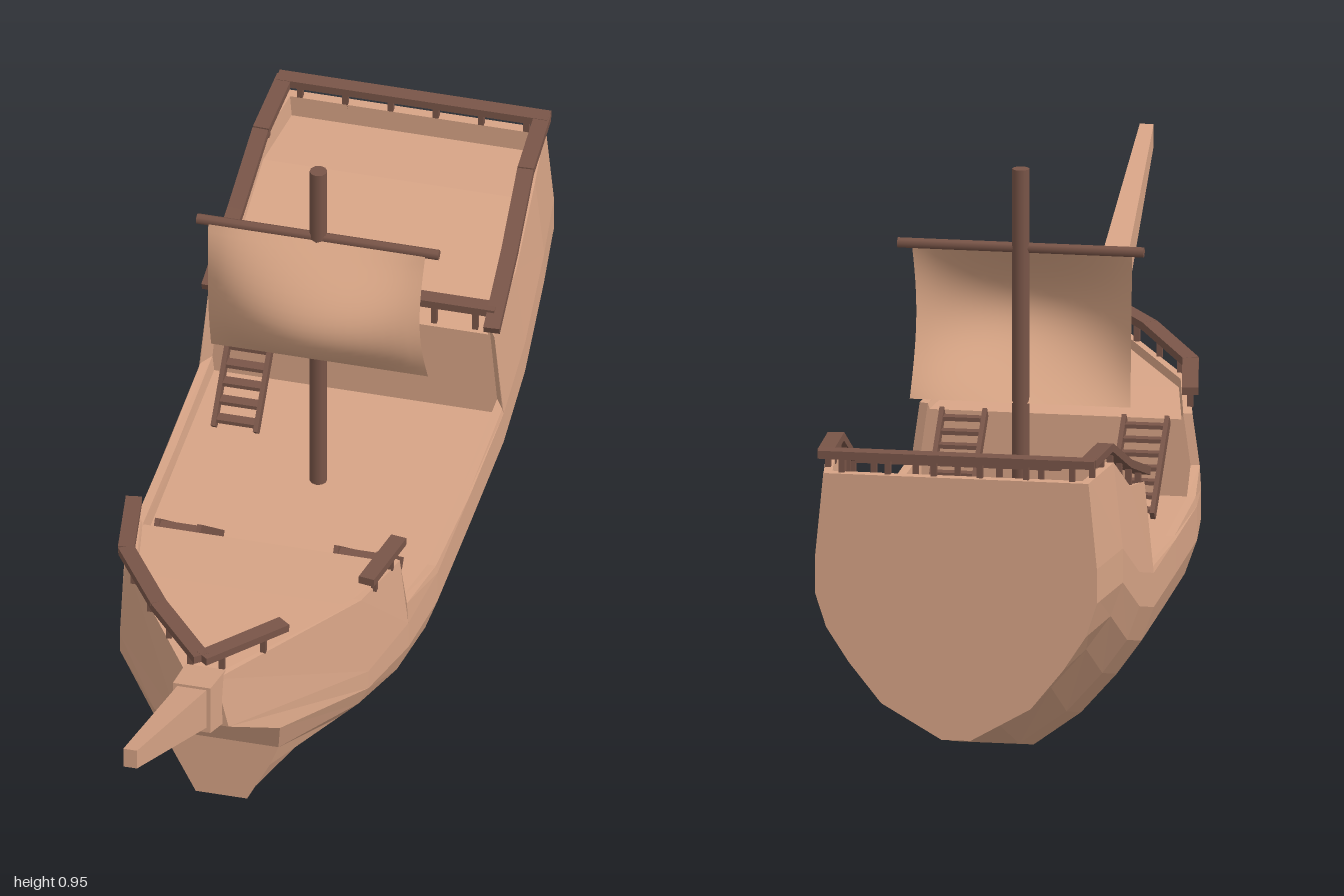
import * as THREE from 'three';

const wood = new THREE.MeshStandardMaterial({ color: 0xd7a486, flatShading: true });
wood.name = 'tan wood';
const sailCloth = new THREE.MeshStandardMaterial({ color: 0xd9a686, side: THREE.DoubleSide });
sailCloth.name = 'tan sailcloth';
const dark = new THREE.MeshStandardMaterial({ color: 0x795548 });
dark.name = 'dark brown wood';

// Skin closed mirrored rings; each ring lists its +x half from bottom to top
function loft(halves, name) {
  const rings = halves.map(h => [...h, ...h.slice().reverse().map(([x, y, z]) => [-x, y, z])]);
  const n = rings[0].length, pos = [];
  const quad = (a, b, c, d) => [a, b, c, a, c, d].forEach(p => pos.push(...p));
  for (let i = 0; i < rings.length - 1; i++) {
    for (let j = 0; j < n; j++) {
      const k = (j + 1) % n;
      quad(rings[i][j], rings[i][k], rings[i + 1][k], rings[i + 1][j]);
    }
  }
  const first = rings[0], last = rings[rings.length - 1];
  for (let k = 0; k < n / 2 - 1; k++) {
    quad(last[k], last[k + 1], last[n - 2 - k], last[n - 1 - k]);
    quad(first[n - 1 - k], first[n - 2 - k], first[k + 1], first[k]);
  }
  const geo = new THREE.BufferGeometry();
  geo.setAttribute('position', new THREE.Float32BufferAttribute(pos, 3));
  geo.computeVertexNormals();
  const mesh = new THREE.Mesh(geo, wood);
  mesh.name = name;
  return mesh;
}

// Hull cross-section: rounded sides, bulwark and deck
function section([z, keel, top, w, deck, scale = 1, bottom = 0.06, deckShift = 0]) {
  const heights = [0, 0.06, 0.13, 0.19, 0.25, 0.31];
  const widths = [0, 0.53, 0.76, 0.92, 1, 1];
  const half = heights.map((h, i) => [i ? widths[i] * w : bottom, keel + h * scale, z]);
  const topW = w * (top > 0.4 ? 0.94 : 0.99);
  half.push([topW, top, z], [topW - 0.015, top, z + deckShift], [topW - 0.018, deck, z + deckShift]);
  return half;
}

function buildHull() {
  // z, keel height, top height, half width, deck height, height scale, keel half width, bulkhead shift
  const stations = [
    [-1, 0.12, 0.58, 0.243, 0.58, 1, 0.025],
    [-0.982, 0.12, 0.58, 0.245, 0.58, 1, 0.028],
    [-0.982, 0.12, 0.58, 0.245, 0.54, 1, 0.028],
    [-0.85, 0.12, 0.58, 0.263, 0.54, 1, 0.04],
    [-0.7, 0.04, 0.5, 0.267, 0.485],
    [-0.55, 0, 0.47, 0.267, 0.455, 1, 0.06, -0.025],
    [-0.55, 0, 0.32, 0.267, 0.29, 1, 0.06, -0.025],
    [-0.32, 0, 0.315, 0.267, 0.29],
    [-0.09, 0, 0.325, 0.266, 0.29],
    [0.05, 0.04, 0.345, 0.25, 0.29, 0.85, 0.06, -0.005],
    [0.05, 0.04, 0.435, 0.25, 0.425, 0.85, 0.06, -0.005],
    [0.2, 0.12, 0.455, 0.218, 0.44, 0.6, 0.055],
  ].map(section);
  const bow = [
    [0.045, 0.12, 0.36], [0.06, 0.15, 0.36], [0.085, 0.2, 0.36], [0.1, 0.24, 0.36], [0.11, 0.305, 0.39],
    [0.045, 0.37, 0.49], [0.025, 0.475, 0.5], [0.018, 0.475, 0.49], [0.015, 0.46, 0.49],
  ];
  return loft([...stations, bow], 'hull');
}

// Square bar between two points
function bar(group, a, b, w, h, name) {
  const p = new THREE.Vector3(...a), q = new THREE.Vector3(...b);
  const mesh = new THREE.Mesh(new THREE.BoxGeometry(w, h, p.distanceTo(q)), dark);
  mesh.position.copy(p).lerp(q, 0.5);
  mesh.lookAt(q);
  mesh.name = name;
  group.add(mesh);
}

// Handrail along a path, with short posts beneath
function railing(points, name, drop = 0.04, posts = 2) {
  const g = new THREE.Group();
  g.name = name;
  for (let i = 0; i < points.length - 1; i++) {
    const a = points[i], b = points[i + 1];
    bar(g, a, b, 0.028, 0.014, 'handrail');
    for (let k = 0; k < posts; k++) {
      const t = (k + 0.5) / posts;
      const post = new THREE.Mesh(new THREE.BoxGeometry(0.01, drop, 0.01), dark);
      post.position.set(...a.map((v, m) => v + (b[m] - v) * t));
      post.position.y -= drop / 2;
      post.name = 'railPost';
      g.add(post);
    }
  }
  return g;
}

// Ladder stair from deck level up to a raised deck
function stair(x, zLow, zHigh, yHigh, name) {
  const g = new THREE.Group(), yLow = 0.295, steps = 7;
  g.name = name;
  for (const s of [-1, 1]) {
    bar(g, [x + s * 0.037, yLow, zLow], [x + s * 0.037, yHigh, zHigh], 0.008, 0.022, 'stringer');
  }
  for (let i = 0; i < steps; i++) {
    const t = (i + 0.5) / steps;
    const tread = new THREE.Mesh(new THREE.BoxGeometry(0.072, 0.007, 0.02), dark);
    tread.position.set(x, yLow + (yHigh - yLow) * t, zLow + (zHigh - zLow) * t);
    tread.name = 'tread';
    g.add(tread);
  }
  return g;
}

function buildSail() {
  const geo = new THREE.PlaneGeometry(0.38, 0.27, 20, 20), p = geo.attributes.position;
  for (let i = 0; i < p.count; i++) {
    const u = p.getX(i) / 0.19, v = p.getY(i) / 0.27 + 0.5;
    const belly = Math.sin(Math.PI * v);
    p.setX(i, p.getX(i) * (1 - 0.025 * belly));
    p.setZ(i, 0.02 * v + belly * (0.03 + 0.075 * (1 - u * u)));
  }
  geo.computeVertexNormals();
  const sail = new THREE.Mesh(geo, sailCloth);
  sail.position.set(0, 0.675, -0.328);
  sail.name = 'sail';
  return sail;
}

export function createModel() {
  const ship = new THREE.Group();
  ship.name = 'sailingShip';
  ship.add(buildHull(), buildSail());

  // Bowsprit and its collar
  const box = (z, w, y0, y1) => [[w, y0, z], [w, y1, z]];
  ship.add(loft([box(0.47, 0.035, 0.365, 0.475), box(0.568, 0.033, 0.412, 0.507)], 'bowspritCollar'));
  ship.add(loft([box(0.55, 0.026, 0.412, 0.494), box(1, 0.012, 0.652, 0.69)], 'bowsprit'));

  // Mast and yard
  const mast = new THREE.Mesh(new THREE.CylinderGeometry(0.015, 0.015, 0.665, 10), dark);
  mast.position.set(0, 0.6175, -0.32);
  mast.name = 'mast';
  const yard = new THREE.Mesh(new THREE.CylinderGeometry(0.009, 0.009, 0.424, 8), dark);
  yard.rotation.z = Math.PI / 2;
  yard.position.set(0, 0.811, -0.318);
  yard.name = 'yard';
  ship.add(mast, yard);

  // Stern railings
  for (const s of [-1, 1]) {
    ship.add(railing([[s * 0.247, 0.488, -0.545], [s * 0.24, 0.54, -0.7], [s * 0.232, 0.605, -0.845],
      [s * 0.226, 0.612, -0.99]], 'sternSideRail'));
  }
  ship.add(railing([[-0.238, 0.612, -0.987], [0.238, 0.612, -0.987]], 'sternRail', 0.04, 6));
  ship.add(railing([[-0.115, 0.502, -0.586], [0.245, 0.502, -0.586]], 'quarterdeckRail', 0.05, 5));

  // Bow railings, with a gap on the left side
  ship.add(railing([[-0.232, 0.475, 0.045], [-0.207, 0.487, 0.2], [-0.11, 0.505, 0.36], [0, 0.515, 0.5]], 'bowRailRight'));
  ship.add(railing([[0, 0.515, 0.5], [0.11, 0.505, 0.36]], 'bowRailLeft'));
  ship.add(railing([[0.232, 0.475, 0.045], [0.21, 0.485, 0.185]], 'bowRailLeftAft'));

  // Stairs
  ship.add(stair(-0.17, -0.415, -0.57, 0.455, 'quarterdeckStair'));
  for (const s of [-1, 1]) ship.add(stair(s * 0.157, -0.12, 0.04, 0.425, 'foredeckStair'));
  return ship;
}
